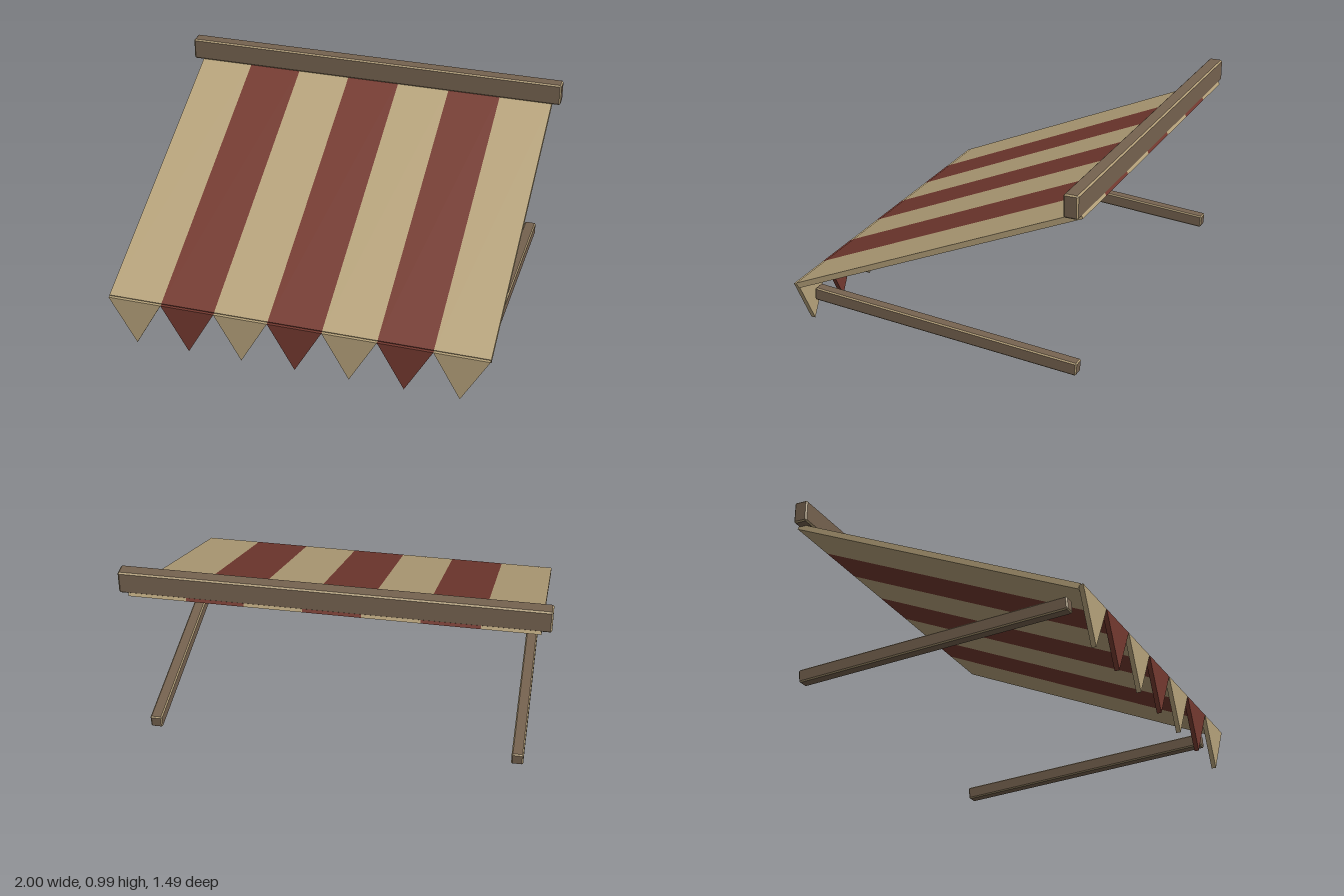
import * as THREE from 'three';
import { ConvexGeometry } from 'three/addons/geometries/ConvexGeometry.js';

const mat = (name, color) => Object.assign(new THREE.MeshStandardMaterial({ color }), { name });

// Box with thin chamfers: group 0 = flat faces, group 1 = chamfered edges
function chamferedBox(w, h, d, c) {
  const pts = [];
  for (const x of [-1, 1]) for (const y of [-1, 1]) for (const z of [-1, 1])
    for (let k = 0; k < 3; k++) pts.push(new THREE.Vector3(
      x * (w / 2 - (k === 0 ? 0 : c)),
      y * (h / 2 - (k === 1 ? 0 : c)),
      z * (d / 2 - (k === 2 ? 0 : c))));
  const geo = new ConvexGeometry(pts);
  const n = geo.attributes.normal;
  for (let i = 0; i < n.count; i += 3) {
    const flat = Math.max(Math.abs(n.getX(i)), Math.abs(n.getY(i)), Math.abs(n.getZ(i))) > 0.98;
    geo.addGroup(i, 3, flat ? 0 : 1);
  }
  return geo;
}

export function createModel() {
  const root = new THREE.Group();
  root.name = 'awning';
  const cream = mat('cream cloth', 0xb8a47c);
  const red = mat('red cloth', 0x753a30);
  const wood = mat('brown wood', 0x766350);
  const worn = mat('worn wood edge', 0xb09c76);

  const add = (name, geo, material, x, y, z, rx = 0) => {
    const m = new THREE.Mesh(geo, material);
    m.name = name;
    m.position.set(x, y, z);
    m.rotation.x = rx;
    root.add(m);
  };

  // Sloping striped canopy with a pointed valance hanging from its front edge
  const stripes = 7, width = 1.908 / stripes, thick = 0.028;
  const slope = Math.atan2(0.64, 1.465), length = Math.hypot(0.64, 1.465);
  const panel = new THREE.BoxGeometry(width, thick, length);
  const topY = 0.57, valanceTop = 0.245;
  const triangle = new THREE.Shape([
    new THREE.Vector2(-width / 2, valanceTop),
    new THREE.Vector2(0, 0),
    new THREE.Vector2(width / 2, valanceTop),
  ]);
  const pennant = new THREE.ExtrudeGeometry(triangle, { depth: 0.023, bevelEnabled: false });
  for (let i = 0; i < stripes; i++) {
    const x = (i - (stripes - 1) / 2) * width;
    const cloth = i % 2 ? red : cream;
    add('canopyStripe', panel, cloth, x,
      topY - Math.cos(slope) * thick / 2, -Math.sin(slope) * thick / 2, slope);
    add('valancePoint', pennant, cloth, x, 0, 0.723);
  }

  // Wall beam
  add('wallBeam', chamferedBox(2, 0.112, 0.07, 0.007), [wood, worn], 0, 0.93, -0.704);

  // Support arms, rising slightly toward the front
  const arm = chamferedBox(0.058, 0.064, 1.366, 0.006);
  for (const s of [-1, 1])
    add(s > 0 ? 'leftArm' : 'rightArm', arm, [wood, worn], s * 0.888, 0.142, -0.027, -0.073);

  return root;
}
